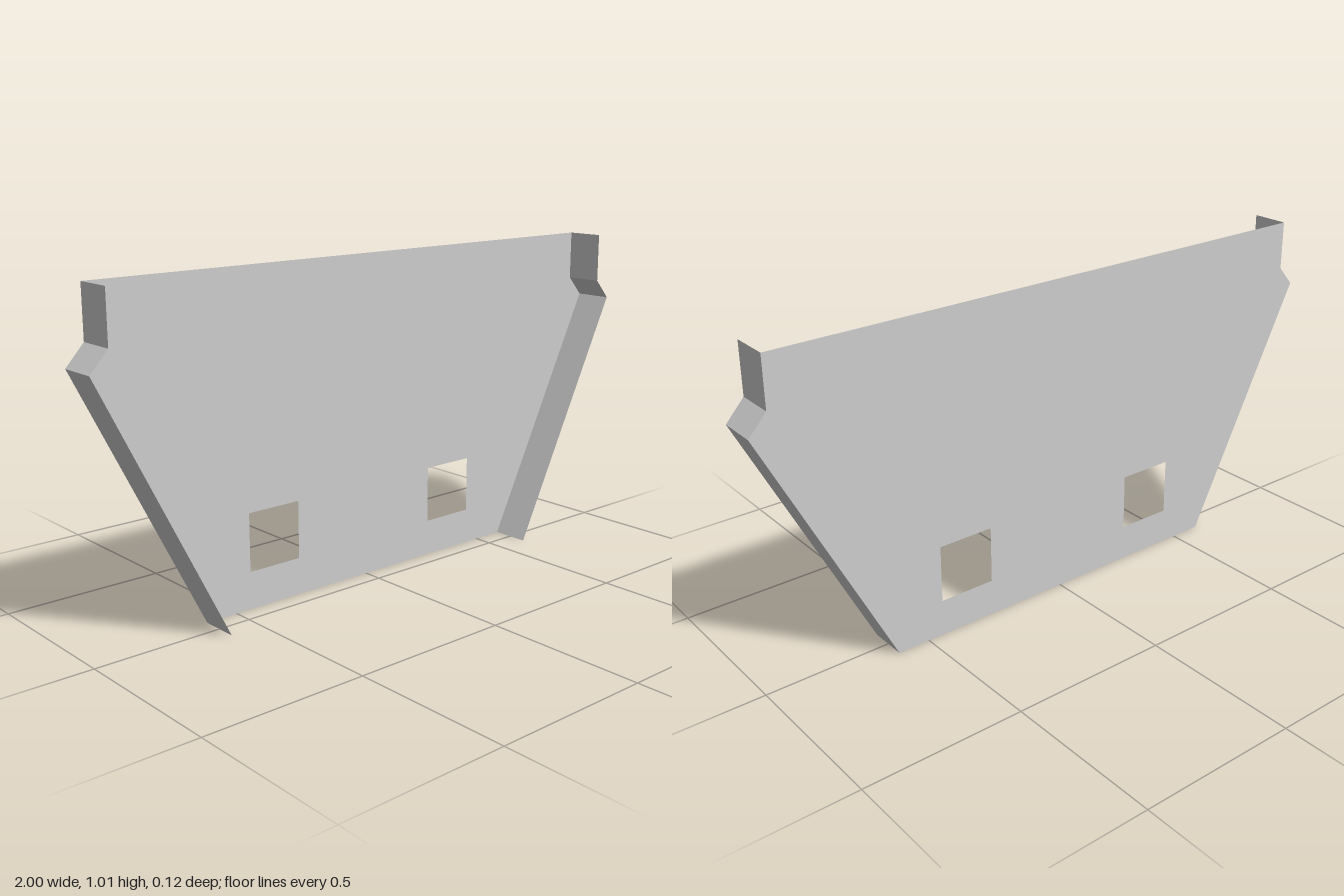
import * as THREE from 'three';

const HALF_DEPTH = 0.0605;
// Side outline of the +x half, from bottom to top
const SIDE = [[0.603, 0], [1, 0.795], [0.944, 0.857], [0.944, 1.012]];

const material = new THREE.MeshStandardMaterial({
  color: 0xcccccc, side: THREE.DoubleSide, flatShading: true,
});

// Thin sheet with two square windows
function makePanel() {
  const mirrored = SIDE.map(([x, y]) => [-x, y]).reverse();
  const shape = new THREE.Shape([...SIDE, ...mirrored].map(([x, y]) => new THREE.Vector2(x, y)));
  for (const x of [-0.357, 0.357]) {
    const r = 0.09, y = 0.205;
    shape.holes.push(new THREE.Path([
      new THREE.Vector2(x - r, y - r), new THREE.Vector2(x - r, y + r),
      new THREE.Vector2(x + r, y + r), new THREE.Vector2(x + r, y - r),
    ]));
  }
  const panel = new THREE.Mesh(new THREE.ShapeGeometry(shape), material);
  panel.position.z = -HALF_DEPTH;
  panel.name = 'panel';
  return panel;
}

// Folded edge strip running forward from the panel along one side
function makeFlange(sign, name) {
  const positions = [];
  for (let i = 0; i < SIDE.length - 1; i++) {
    const [ax, ay] = SIDE[i], [bx, by] = SIDE[i + 1];
    const a = [sign * ax, ay, -HALF_DEPTH], b = [sign * bx, by, -HALF_DEPTH];
    const c = [sign * bx, by, HALF_DEPTH], d = [sign * ax, ay, HALF_DEPTH];
    // Keep the outer face as the front on both sides
    const quad = sign > 0 ? [a, b, c, a, c, d] : [a, c, b, a, d, c];
    positions.push(...quad.flat());
  }
  const geometry = new THREE.BufferGeometry();
  geometry.setAttribute('position', new THREE.Float32BufferAttribute(positions, 3));
  geometry.computeVertexNormals();
  const flange = new THREE.Mesh(geometry, material);
  flange.name = name;
  return flange;
}

export function createModel() {
  const model = new THREE.Group();
  model.name = 'flangedPlate';
  model.add(makePanel(), makeFlange(1, 'leftFlange'), makeFlange(-1, 'rightFlange'));
  return model;
}
